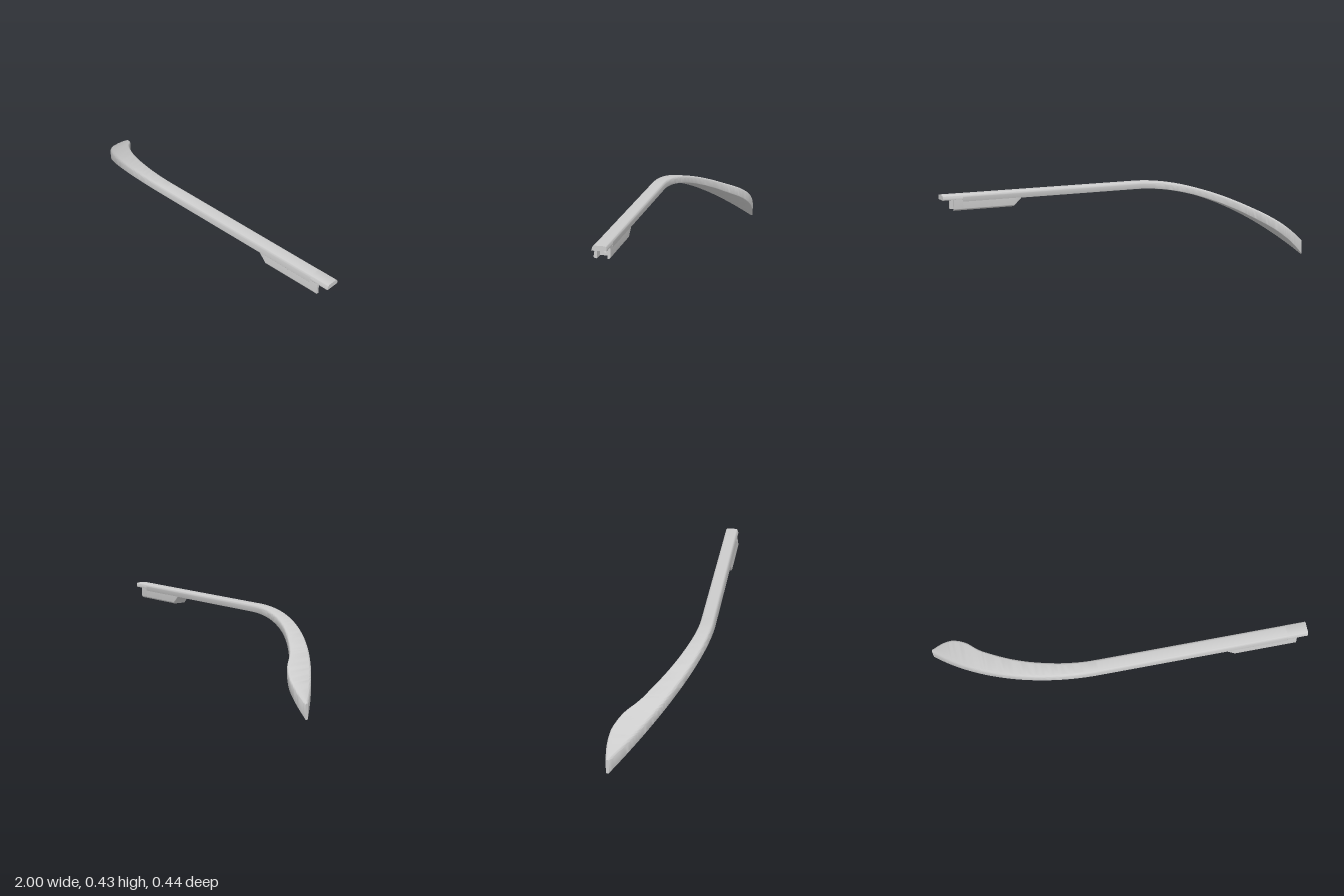
import * as THREE from 'three';
import { toCreasedNormals } from 'three/addons/utils/BufferGeometryUtils.js';

const material = new THREE.MeshStandardMaterial({ color: 0xcccccc });
const BEND = -0.13;   // where the straight bar starts to curve
const INNER = 0.135;  // z of the inner face of the straight bar
const outerZ = (y) => 0.207 + (0.425 - y) * 0.15; // slightly flared outer face

// Drop of a circular arc of radius R below the straight bar
function drop(x, R) {
  const d = Math.max(0, BEND - x);
  return R - Math.sqrt(R * R - d * d);
}

// Rounded quad cross-section in (y, z), counter-clockwise seen from +x
function section({ x, yb, yt, zi, zoTop, zoBot, rTop, rBot }) {
  const corners = [
    [yb, zi, rBot, 1, 1], [yt, zi, rTop, -1, 1],
    [yt, zoTop, rTop, -1, -1], [yb, zoBot, rBot, 1, -1],
  ];
  const ring = [];
  corners.forEach(([y, z, r, sy, sz], k) => {
    for (let i = 0; i <= 5; i++) {
      const a = Math.PI + (k + i / 5) * Math.PI / 2;
      ring.push([x, y + sy * r + r * Math.cos(a), z + sz * r + r * Math.sin(a)]);
    }
  });
  return ring;
}

// Skin a list of rings that advance along +x, with flat end caps
function loft(rings) {
  const n = rings[0].length, idx = [];
  for (let i = 0; i < rings.length - 1; i++) {
    for (let j = 0; j < n; j++) {
      const a = i * n + j, b = i * n + (j + 1) % n;
      idx.push(a, b, b + n, a, b + n, a + n);
    }
  }
  const last = (rings.length - 1) * n;
  for (let j = 1; j < n - 1; j++) {
    idx.push(0, j + 1, j, last, last + j, last + j + 1);
  }
  const g = new THREE.BufferGeometry();
  g.setAttribute('position', new THREE.Float32BufferAttribute(rings.flat(2), 3));
  g.setIndex(idx);
  return toCreasedNormals(g, 0.6);
}

// Bar: curved, twisting tail running into a straight arm and an end tab
function barGeometry() {
  const innerEdge = new THREE.SplineCurve([
    [-1, -0.214], [-0.95, -0.22], [-0.9, -0.216], [-0.86, -0.203], [-0.8, -0.163],
    [-0.745, -0.105], [-0.7, -0.067], [-0.6, 0.0], [-0.5, 0.052], [-0.4, 0.09],
    [-0.3, 0.117], [-0.2, 0.132], [BEND, INNER],
  ].map(([x, z]) => new THREE.Vector2(x, z)));
  const rings = innerEdge.getPoints(72).map(({ x, y: zi }) => {
    const t = Math.min(1, Math.max(0, (BEND - x) / (BEND + 1)));
    const yb = 0.385 - drop(x, 1.175), yt = 0.425 - drop(x, 1.27);
    const zoBot = THREE.MathUtils.lerp(outerZ(0.385), -0.198, drop(x, 1.175) / 0.385);
    const zoTop = zoBot - 0.006 * (1 - t);
    const w = zoTop - zi;
    return section({
      x, yb, yt, zi, zoTop, zoBot,
      rTop: Math.min(0.015, w * 0.4), rBot: Math.min(0.002 + 0.004 * t, w * 0.4),
    });
  });
  // straight arm, stepped up over the hinge slot and the tab
  for (const [x, yb] of [[0.89, 0.385], [0.89, 0.399], [1, 0.399]]) {
    rings.push(section({
      x, yb, yt: 0.425, zi: INNER, zoTop: outerZ(0.425), zoBot: outerZ(yb),
      rTop: yb > 0.39 ? 0.014 : 0.015, rBot: 0.002,
    }));
  }
  return loft(rings);
}

// Housing outline (shape x = -z); an optional slot opens it from below
function housingShape(top, slot) {
  const b = 0.341, r = 0.012, s = new THREE.Shape();
  const zo = outerZ(b);
  s.moveTo(-outerZ(top), top);
  s.lineTo(-outerZ(b + r), b + r);
  s.quadraticCurveTo(-zo, b, -zo + r, b);
  if (slot) {
    const [z0, z1, yTop] = slot;
    s.lineTo(-z1, b);
    s.lineTo(-z1, yTop);
    if (yTop < top) s.lineTo(-z0, yTop);
    else {
      // slot reaches the arm: leave a paper-thin roof
      s.lineTo(-z1, top - 0.001);
      s.lineTo(-z0, top - 0.001);
    }
    s.lineTo(-z0, b);
  }
  s.lineTo(-INNER - r, b);
  s.quadraticCurveTo(-INNER, b, -INNER, b + r);
  s.lineTo(-INNER, top);
  s.closePath();
  return s;
}

function extrudeX(shape, x0, x1) {
  const g = new THREE.ExtrudeGeometry(shape, { depth: x1 - x0, bevelEnabled: false, curveSegments: 10 });
  return g.rotateY(Math.PI / 2).translate(x0, 0, 0);
}

export function createModel() {
  const model = new THREE.Group();
  model.name = 'templeArm';
  const add = (parent, name, geometry) => {
    const mesh = new THREE.Mesh(geometry, material);
    mesh.name = name;
    parent.add(mesh);
  };
  add(model, 'bar', barGeometry());

  const housing = new THREE.Group();
  housing.name = 'hingeHousing';
  model.add(housing);

  // sloped lead-in: lift the thin end up to the underside of the bar
  const ramp = extrudeX(housingShape(0.387), 0.565, 0.605);
  const p = ramp.attributes.position;
  for (let i = 0; i < p.count; i++) {
    if (p.getX(i) < 0.58) {
      const y = Math.max(p.getY(i), 0.384);
      p.setXYZ(i, p.getX(i), y, Math.min(p.getZ(i), outerZ(y)));
    }
  }
  ramp.computeVertexNormals();
  add(housing, 'housingRamp', toCreasedNormals(ramp, 0.6));

  // solid body with a small opening in its underside
  const crease = (g) => toCreasedNormals(g, 0.6);
  add(housing, 'housingBody', crease(extrudeX(housingShape(0.387), 0.605, 0.725)));
  add(housing, 'undersideOpening', crease(extrudeX(housingShape(0.387, [0.163, 0.19, 0.375]), 0.725, 0.755)));

  // block with a round pin hole facing the open end
  const block = housingShape(0.387);
  const hole = new THREE.Path();
  hole.absarc(-0.175, 0.369, 0.013, 0, Math.PI * 2, true);
  block.holes.push(hole);
  add(housing, 'pinHoleBlock', crease(extrudeX(block, 0.755, 0.89)));

  // open hinge slot between two side walls
  add(housing, 'hingeSlot', crease(extrudeX(housingShape(0.4, [0.149, 0.201, 0.397]), 0.89, 0.94)));
  return model;
}
